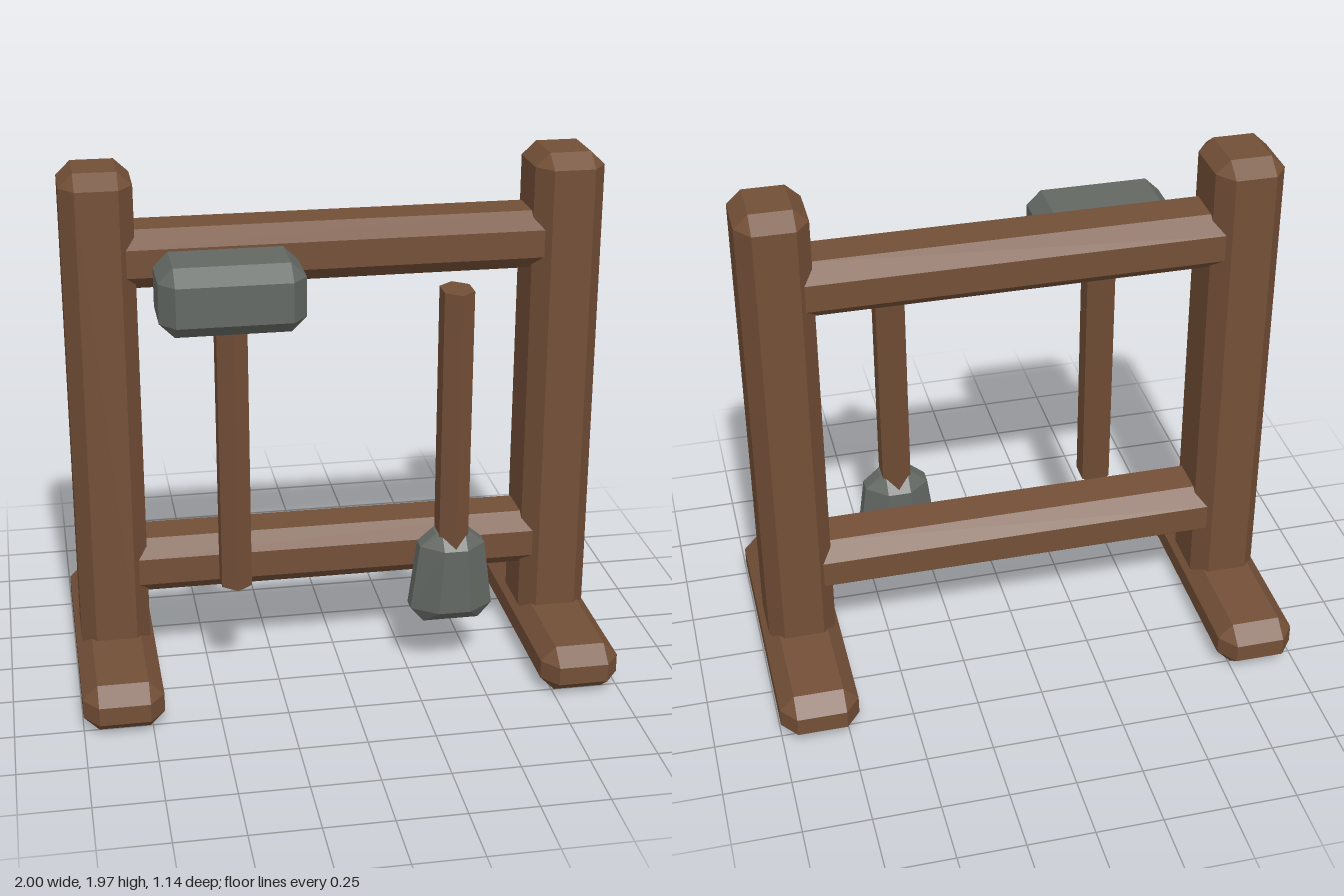
import * as THREE from 'three';
import { ConvexGeometry } from 'three/addons/geometries/ConvexGeometry.js';

const SIGNS = [-1, 1];

// Box with every edge and corner cut off; each corner yields three points.
// shape() may move the points before the hull is made.
function chamferedBox([w, h, d], [cx, cy, cz], shape = (p) => p) {
  const points = [];
  for (const sx of SIGNS) for (const sy of SIGNS) for (const sz of SIGNS) {
    const X = w / 2, Y = h / 2, Z = d / 2;
    for (const [x, y, z] of [[X, Y - cy, Z - cz], [X - cx, Y, Z - cz], [X - cx, Y - cy, Z]]) {
      points.push(shape(new THREE.Vector3(sx * x, sy * y, sz * z)));
    }
  }
  return new ConvexGeometry(points);
}

export function createModel() {
  const wood = new THREE.MeshStandardMaterial({ color: 0x734f37, flatShading: true });
  wood.name = 'brown wood';
  const stone = new THREE.MeshStandardMaterial({ color: 0x636863, flatShading: true });
  stone.name = 'grey stone';

  const model = new THREE.Group();
  model.name = 'hammerRack';
  const add = (name, geometry, material, x, y, z) => {
    const mesh = new THREE.Mesh(geometry, material);
    mesh.name = name;
    mesh.position.set(x, y, z);
    model.add(mesh);
    return mesh;
  };

  // Frame: a foot and a post on each side
  const foot = chamferedBox([0.295, 0.18, 1.14], [0.055, 0.055, 0.07]);
  const post = chamferedBox([0.258, 1.86, 0.33], [0.053, 0.05, 0.07]);
  for (const s of SIGNS) {
    const side = s > 0 ? 'left' : 'right';
    add(side + 'Foot', foot, wood, s * 0.8525, 0.09, 0);
    add(side + 'Post', post, wood, s * 0.851, 1.035, 0);
  }

  // Two cross rails running into the posts
  const rail = chamferedBox([1.66, 0.216, 0.285], [0.05, 0.057, 0.07]);
  add('lowerRail', rail, wood, 0, 0.439, -0.002);
  add('upperRail', rail, wood, 0, 1.64, -0.002);

  // Six-sided handles, deeper than wide
  const handle = new THREE.CylinderGeometry(1, 1, 1.09, 6);
  handle.scale(0.055 / Math.cos(Math.PI / 6), 1, 0.087);
  add('uprightHammerHandle', handle, wood, -0.41, 0.985, 0.265);
  add('hangingHammerHandle', handle, wood, 0.404, 0.985, 0.265);

  // Block-shaped head on top of one handle
  add('uprightHammerHead', chamferedBox([0.515, 0.25, 0.33], [0.054, 0.053, 0.067]),
    stone, -0.41, 1.565, 0.265);

  // Tapered head at the foot of the other, narrower towards the top
  const taper = (p) => {
    const t = (p.y + 0.18) / 0.36;
    p.x *= 1.03 - 0.26 * t;
    return p;
  };
  const ring = (y, x, z, flatX, flatZ) => SIGNS.flatMap((sx) => SIGNS.flatMap((sz) => [
    new THREE.Vector3(sx * x, y, sz * flatZ),
    new THREE.Vector3(sx * flatX, y, sz * z),
  ]));
  const headPoints = [
    ...ring(-0.18, 0.105, 0.028, 0.06, 0.028),
    ...ring(-0.122, 0.156, 0.096, 0.06, 0.028),
    ...ring(0.132, 0.123, 0.096, 0.044, 0.028),
    ...ring(0.182, 0.064, 0.05, 0.044, 0.028),
  ];
  add('hangingHammerHead', new ConvexGeometry(headPoints), stone, 0.404, 0.402, 0.262);

  return model;
}
